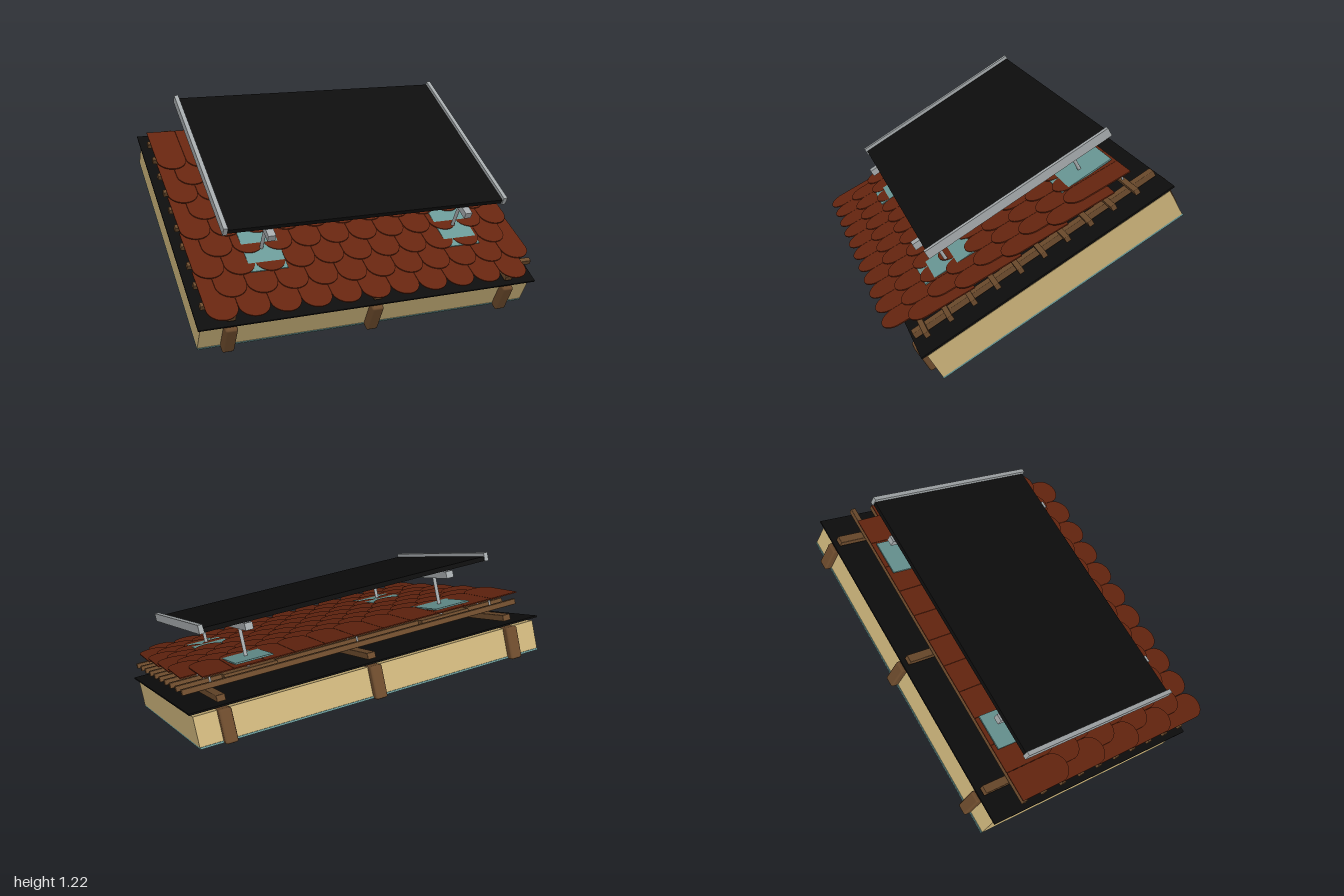
import * as THREE from 'three';
import { RoundedBoxGeometry } from 'three/addons/geometries/RoundedBoxGeometry.js';

const mat = (name, color) => {
  const m = new THREE.MeshStandardMaterial({ color });
  m.name = name;
  return m;
};

export function createModel() {
  const wood = mat('wood', 0x6b4a2c);
  const clay = mat('clay tile', 0x66250f);
  const wool = mat('insulation', 0xc8b078);
  const black = mat('black', 0x0d0d0d);
  const metal = mat('aluminium', 0xa3a8aa);
  const teal = mat('teal sheet', 0x6a9896);

  const model = new THREE.Group();
  model.name = 'solarRoofSection';

  // Everything is laid out flat (y = height of layer, z = down the slope), then pitched 30 degrees
  const roof = new THREE.Group();
  roof.name = 'pitchedRoof';
  roof.rotation.x = Math.PI / 6;
  model.add(roof);

  // Box given by its x centre and width, and its y and z ranges; bevel rounds the edges
  const slab = (name, material, x, w, y0, y1, z0, z1, bevel = 0) => {
    const geo = bevel
      ? new RoundedBoxGeometry(w, y1 - y0, z1 - z0, 1, bevel)
      : new THREE.BoxGeometry(w, y1 - y0, z1 - z0);
    const mesh = new THREE.Mesh(geo, material);
    mesh.name = name;
    mesh.position.set(x, (y0 + y1) / 2, (z0 + z1) / 2);
    roof.add(mesh);
    return mesh;
  };
  const rod = (name, x, y0, y1, z, r) => {
    const mesh = new THREE.Mesh(new THREE.CylinderGeometry(r, r, y1 - y0, 12), metal);
    mesh.name = name;
    mesh.position.set(x, (y0 + y1) / 2, z);
    roof.add(mesh);
  };

  // Lower layers: lining, insulation and membrane
  slab('innerLining', teal, 0, 1.96, 0.286, 0.296, -1.04, 0.443);
  slab('insulation', wool, 0, 1.96, 0.296, 0.453, -1.035, 0.44);
  slab('membrane', black, 0, 2, 0.468, 0.477, -1.06, 0.469);

  // Rafters and the counter battens above them
  for (const x of [-0.823, 0, 0.823]) {
    slab('rafter', wood, x, 0.068, 0.279, 0.458, -1.074, 0.486, 0.012);
    slab('counterBatten', wood, x, 0.047, 0.49, 0.525, -1.04, 0.45, 0.004);
  }

  // Tile battens with their screws
  const pitch = 0.1403;
  for (let i = 0; i < 10; i++) {
    const z = 0.379 - i * pitch;
    slab('tileBatten', wood, 0, 1.96, 0.54, 0.571, z - 0.015, z + 0.015, 0.004);
    for (const x of [-0.823, 0, 0.823]) rod('battenScrew', x, 0.57, 0.598, z, 0.006);
  }

  // Round-ended tiles, laid in staggered rows
  const w = 0.168, r = w / 2 - 0.001, len = 0.358;
  const outline = new THREE.Shape();
  outline.moveTo(r, len);
  outline.lineTo(-r, len);
  outline.lineTo(-r, r);
  outline.absarc(0, r, r, Math.PI, 2 * Math.PI, false);
  outline.lineTo(r, len);
  const tileGeo = new THREE.ExtrudeGeometry(outline, { depth: 0.006, bevelEnabled: false, curveSegments: 20 });
  tileGeo.rotateX(-Math.PI / 2);
  for (let row = 0; row < 9; row++) {
    const rowGroup = new THREE.Group();
    rowGroup.name = 'tileRow';
    rowGroup.position.set((row % 2) * w / 2, 0.6305, 0.551 - row * pitch);
    rowGroup.rotation.x = -0.0655;
    for (let i = 0; i < 11; i++) {
      const tile = new THREE.Mesh(tileGeo, clay);
      tile.name = 'roofTile';
      tile.position.x = -0.98 + (i + 0.5) * w;
      rowGroup.add(tile);
    }
    roof.add(rowGroup);
  }

  // Panel supports: mounting board, flashing plate, post and rail on each side
  for (const x of [-0.58, 0.58]) {
    for (const z of [0.1, -0.755]) {
      slab('mountingBoard', wood, x, 0.3, 0.53, 0.573, z - 0.05, z + 0.05, 0.004);
      slab('flashingPlate', teal, x, 0.205, 0.624, 0.632, z - 0.155, z + 0.16);
      rod('supportPost', x, 0.57, 0.79, z, 0.01);
    }
    slab('supportRail', metal, x, 0.042, 0.784, 0.822, -0.945, 0.202);
  }

  // Solar panel with side frames
  slab('solarPanel', black, 0, 1.62, 0.826, 0.851, -0.935, 0.155);
  for (const x of [-0.822, 0.822]) {
    slab('panelFrame', metal, x, 0.024, 0.823, 0.87, -0.94, 0.163);
  }

  return model;
}
